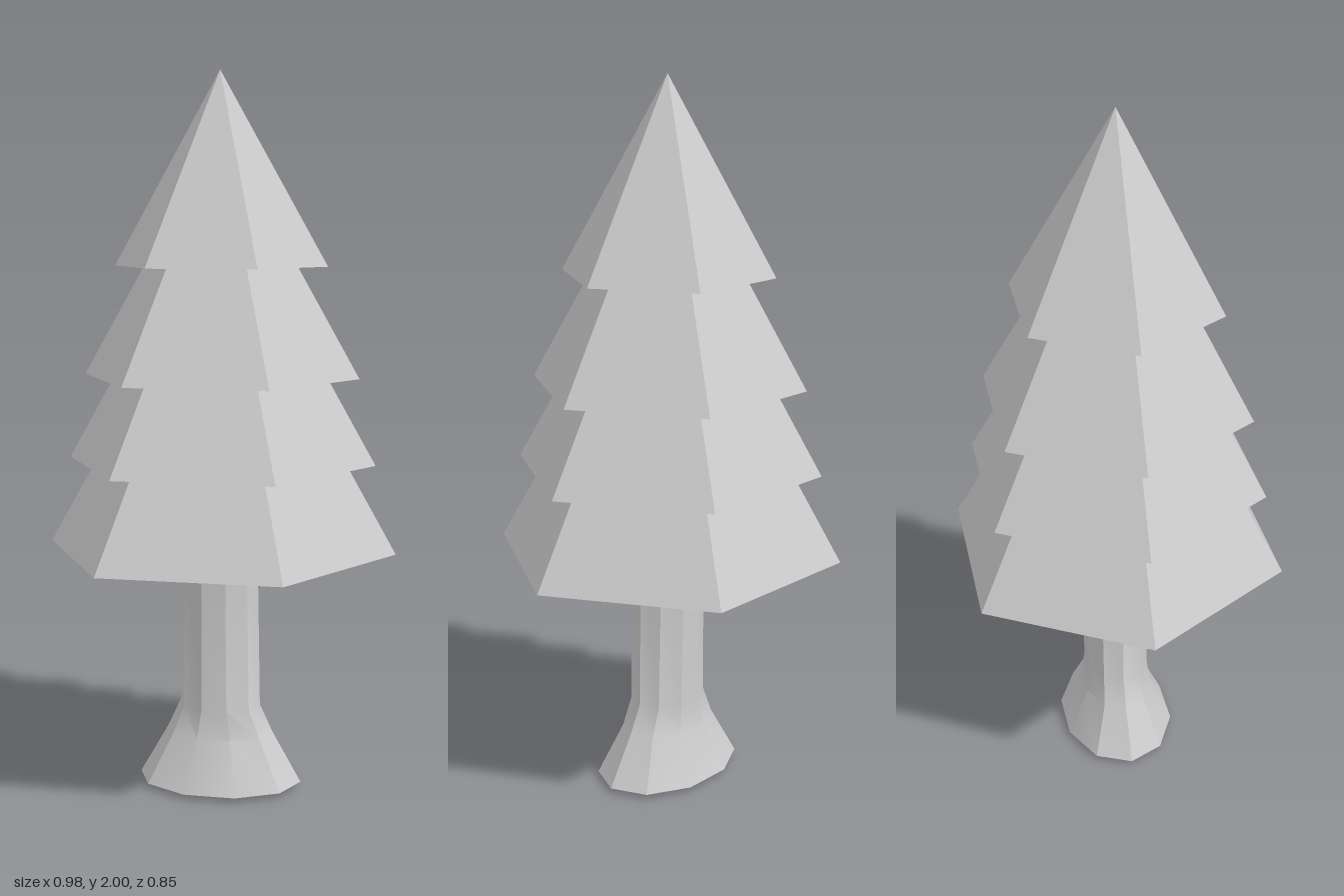
import * as THREE from 'three';
import { toCreasedNormals } from 'three/addons/utils/BufferGeometryUtils.js';

export function createModel() {
  const tree = new THREE.Group();
  tree.name = 'pineTree';
  const flat = new THREE.MeshStandardMaterial({ color: 0xcccccc, flatShading: true });
  const smooth = new THREE.MeshStandardMaterial({ color: 0xcccccc });

  // Foliage: four overlapping six-sided cones of equal slope, [base height, radius]
  const slope = 0.566;
  const tiers = [[0.69, 0.492], [0.935, 0.433], [1.172, 0.386], [1.475, 0.297]];
  tiers.forEach(([y, radius], i) => {
    const height = radius / slope;
    const cone = new THREE.ConeGeometry(radius, height, 6);
    cone.rotateY(Math.PI / 6); // corners on the x axis
    const mesh = new THREE.Mesh(cone, flat);
    mesh.position.y = y + height / 2;
    mesh.name = `foliageTier${i + 1}`;
    tree.add(mesh);
  });

  // Trunk: ten-sided, root flare wider in x than in z; [x radius, y, z radius]
  const rings = [
    [0, 0.004, 0],
    [0.233, 0.018, 0.168],
    [0.152, 0.16, 0.102],
    [0.115, 0.24, 0.094],
    [0.107, 0.7, 0.102],
    [0, 0.7, 0],
  ];
  const trunk = new THREE.LatheGeometry(
    rings.map(([x, y]) => new THREE.Vector2(x, y)), 10, Math.PI / 2);
  const pos = trunk.attributes.position;
  for (let i = 0; i < pos.count; i++) {
    const [rx, , rz] = rings[i % rings.length];
    if (rx > 0) pos.setZ(i, pos.getZ(i) * rz / rx);
  }
  const trunkMesh = new THREE.Mesh(toCreasedNormals(trunk, Math.PI / 6), smooth);
  trunkMesh.name = 'trunk';
  tree.add(trunkMesh);

  return tree;
}
